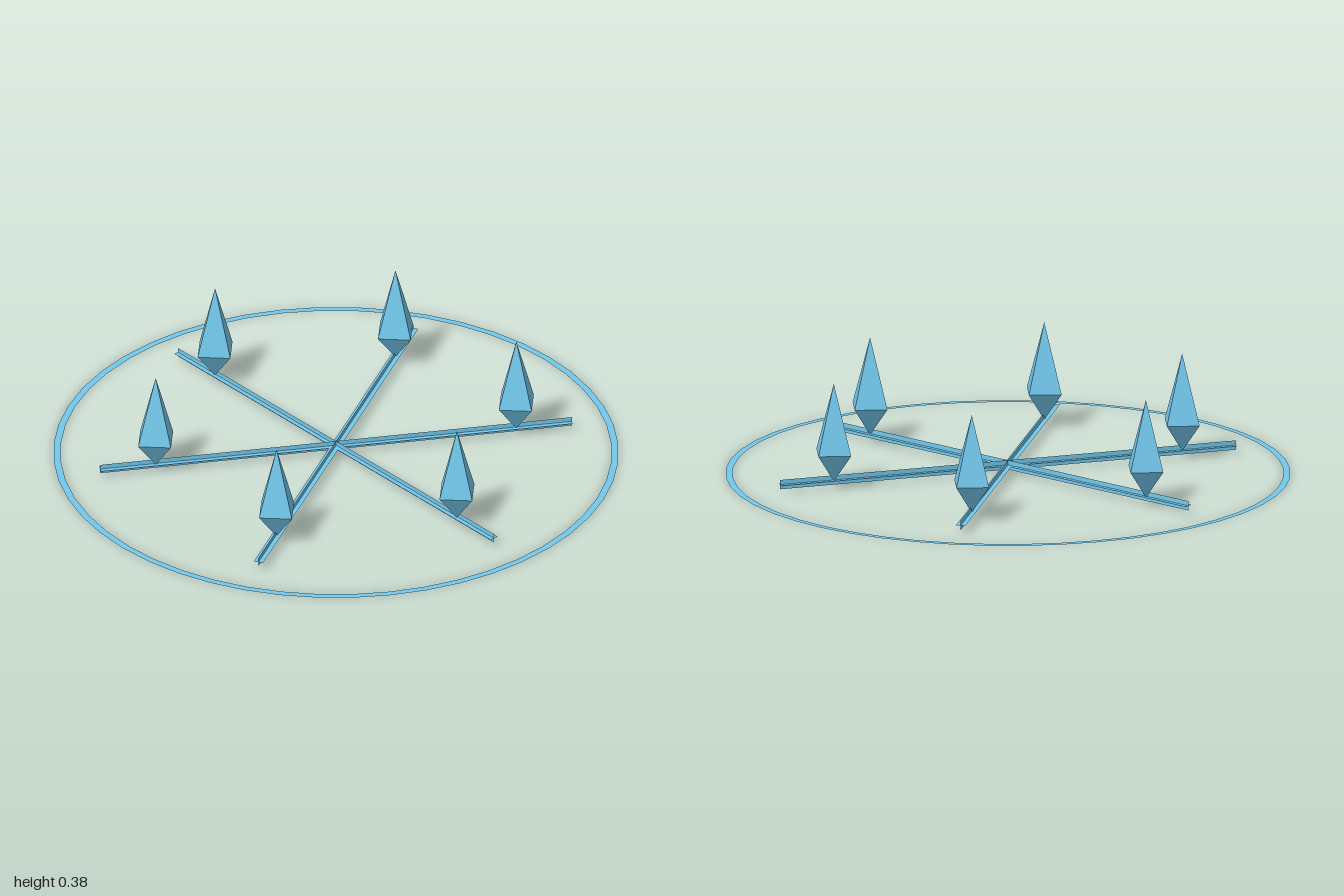
import * as THREE from 'three';

export function createModel() {
  const group = new THREE.Group();
  const mat = new THREE.MeshStandardMaterial({
    color: 0x74c8ec, flatShading: true, side: THREE.DoubleSide,
  });
  const add = (geometry, name, parent = group) => {
    const mesh = new THREE.Mesh(geometry, mat);
    mesh.name = name;
    parent.add(mesh);
    return mesh;
  };

  // Flat ring lying on the ground
  add(new THREE.RingGeometry(0.975, 1, 48).rotateX(-Math.PI / 2), 'groundRing');

  // Three full-width spokes, each a pair of thin crossed strips
  const upright = new THREE.PlaneGeometry(1.7, 0.034);
  const flat = upright.clone().rotateX(-Math.PI / 2);
  for (let i = 0; i < 3; i++) {
    const spoke = new THREE.Group();
    spoke.name = 'spoke' + (i + 1);
    add(upright, 'uprightStrip', spoke);
    add(flat, 'flatStrip', spoke);
    spoke.position.y = 0.03;
    spoke.rotation.y = (i * Math.PI) / 3;
    group.add(spoke);
  }

  // Six four-sided crystals, all turned the same way
  const profile = [[0, 0.025], [0.082, 0.131], [0, 0.382]].map(([r, y]) => new THREE.Vector2(r, y));
  const crystal = new THREE.LatheGeometry(profile, 4);
  for (let i = 0; i < 6; i++) {
    const a = (i * Math.PI) / 3;
    add(crystal, 'crystal' + (i + 1)).position.set(0.65 * Math.cos(a), 0, 0.65 * Math.sin(a));
  }
  return group;
}
